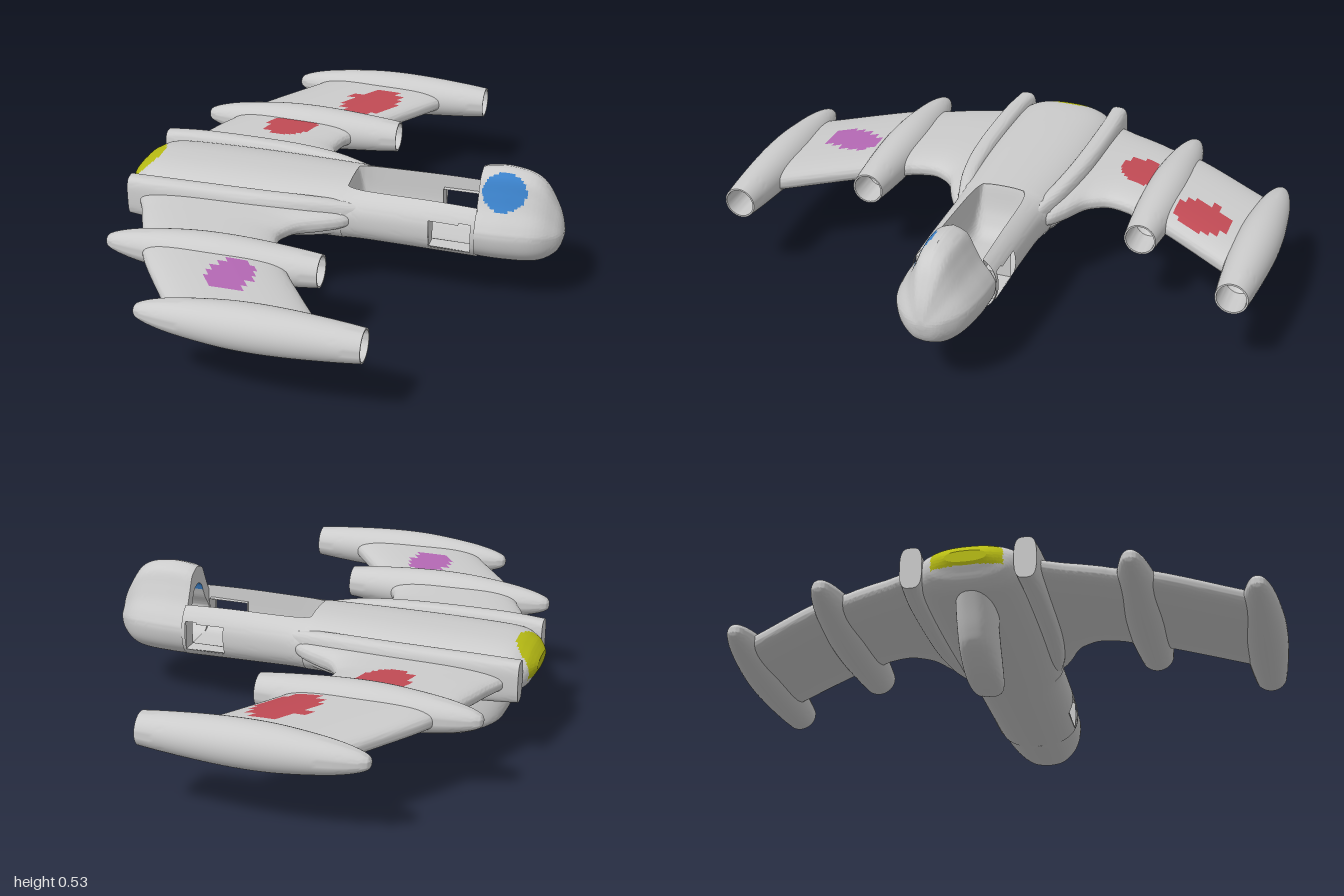
import * as THREE from 'three';
import { toCreasedNormals } from 'three/addons/utils/BufferGeometryUtils.js';

const GREY = 0xcccccc;
const makeMesh = (name, geometry, color = GREY) => {
  const mesh = new THREE.Mesh(geometry, new THREE.MeshStandardMaterial({ color, side: THREE.DoubleSide }));
  mesh.name = name;
  return mesh;
};

// Catmull-Rom refinement of a table of section parameters
function refine(rows, n) {
  const out = [];
  const spline = (a, b, c, d, t) =>
    b + 0.5 * t * (c - a + t * (2 * a - 5 * b + 4 * c - d + t * (3 * (b - c) + d - a)));
  for (let i = 0; i < rows.length - 1; i++) {
    const [p, q, r, s] = [rows[Math.max(i - 1, 0)], rows[i], rows[i + 1], rows[Math.min(i + 2, rows.length - 1)]];
    for (let k = 0; k < n; k++) out.push(q.map((v, j) => spline(p[j], v, r[j], s[j], k / n)));
  }
  out.push(rows[rows.length - 1]);
  return out;
}

const spow = (v, e) => Math.sign(v) * Math.pow(Math.abs(v), e);

// Closed superellipse as [u, v] pairs in -1..1
function superLoop(n, exponent) {
  return Array.from({ length: n }, (_, i) => {
    const a = (i / n) * Math.PI * 2;
    return [spow(Math.cos(a), 2 / exponent), spow(Math.sin(a), 2 / exponent)];
  });
}

// Lofts closed rings; faces chosen by a patch test go to their own coloured mesh
function loft(group, name, rings, { patches = [], hole = () => false, caps = true } = {}) {
  const buckets = [[], ...patches.map(() => [])];
  const add = (...pts) => {
    const c = pts.reduce((s, p) => s.add(p), new THREE.Vector3()).divideScalar(pts.length);
    if (hole(c)) return;
    const target = buckets[patches.findIndex((p) => p.test(c)) + 1];
    for (let k = 1; k < pts.length - 1; k++)
      for (const p of [pts[0], pts[k], pts[k + 1]]) target.push(p.x, p.y, p.z);
  };
  const n = rings[0].length;
  for (let i = 0; i < rings.length - 1; i++)
    for (let j = 0; j < n; j++) {
      const k = (j + 1) % n;
      add(rings[i][j], rings[i][k], rings[i + 1][k], rings[i + 1][j]);
    }
  if (caps)
    [rings[0], rings[rings.length - 1]].forEach((ring, end) => {
      const mid = ring.reduce((s, p) => s.add(p), new THREE.Vector3()).divideScalar(n);
      ring.forEach((p, j) => (end ? add(mid, p, ring[(j + 1) % n]) : add(mid, ring[(j + 1) % n], p)));
    });
  buckets.forEach((data, i) => {
    if (!data.length) return;
    const g = new THREE.BufferGeometry();
    g.setAttribute('position', new THREE.Float32BufferAttribute(data, 3));
    const patch = patches[i - 1];
    group.add(makeMesh(patch ? patch.name : name, toCreasedNormals(g, 0.7), patch ? patch.color : GREY));
  });
}

const V = (x, y, z) => new THREE.Vector3(x, y, z);
const inOval = (a, b, ra, rb) => (a / ra) ** 2 + (b / rb) ** 2 < 1;

// Fuselage section: outer hull from rim to rim, then across the top or down into the cockpit
function hullRing([x, w, top, bottom, c, depth]) {
  const E = 2.4, OUT = 72, INN = 48, FLOOR = 0.235;
  const mid = (top + bottom) / 2, h = (top - bottom) / 2;
  const roof = (z) => mid + h * Math.pow(Math.max(0, 1 - Math.pow(Math.abs(z) / w, E)), 1 / E);
  const start = Math.acos(Math.pow(c / w, E / 2));
  const d = THREE.MathUtils.clamp(depth, 0, 1), rim = roof(c), ring = [];
  for (let i = 0; i < OUT; i++) {
    const a = start - (i / OUT) * (Math.PI + 2 * start);
    ring.push(V(x, mid + h * spow(Math.sin(a), 2 / E), w * spow(Math.cos(a), 2 / E)));
  }
  for (let i = 0; i < INN; i++) {
    const a = Math.PI - (i / INN) * Math.PI;
    const z = c * spow(Math.cos(a), 0.4);
    const pit = FLOOR + (rim - FLOOR) * (1 - Math.pow(Math.abs(Math.sin(a)), 0.4));
    ring.push(V(x, THREE.MathUtils.lerp(roof(z), pit, d), z));
  }
  return ring;
}

function buildFuselage(group) {
  // x, half width, top, bottom, cockpit half width, cockpit depth
  const rows = [
    [-0.8, 0.07, 0.35, 0.31, 0.04, 0], [-0.785, 0.11, 0.367, 0.285, 0.06, 0],
    [-0.76, 0.15, 0.387, 0.25, 0.08, 0], [-0.7, 0.19, 0.408, 0.226, 0.09, 0],
    [-0.55, 0.2, 0.415, 0.217, 0.09, 0], [-0.3, 0.2, 0.418, 0.214, 0.09, 0],
    [0, 0.185, 0.42, 0.208, 0.075, 0], [0.02, 0.18, 0.42, 0.207, 0.075, 0],
    [0.05, 0.174, 0.421, 0.206, 0.088, 0.65], [0.12, 0.166, 0.425, 0.203, 0.097, 1],
    [0.34, 0.161, 0.43, 0.197, 0.102, 1], [0.49, 0.156, 0.43, 0.192, 0.105, 1],
    [0.5, 0.152, 0.43, 0.19, 0.105, 1],
  ];
  loft(group, 'fuselage', refine(rows, 8).map(hullRing), {
    caps: false,
    hole: (p) => p.x > 0.34 && p.x < 0.49 && p.y > 0.252 && p.y < 0.358 && Math.abs(p.z) > 0.07,
    patches: [{ name: 'tailLight', color: 0xb8bc14, test: (p) => p.y > 0.3 && inOval(p.x + 0.8, p.z, 0.09, 0.125) }],
  });
  const tail = hullRing(rows[0]);
  loft(group, 'tailEnd', [tail, tail.map((p) => V(-0.8, 0.33, p.z * 0.05))], {
    patches: [{ name: 'tailLightEnd', color: 0xb8bc14, test: () => true }],
  });

  // Window reveals through the cockpit walls
  for (const s of [1, -1]) {
    const frame = (z) => [[0.34, 0.25], [0.49, 0.25], [0.49, 0.36], [0.34, 0.36]].map(([x, y]) => V(x, y, s * z));
    loft(group, 'windowFrame', [frame(0.085), frame(0.146)], { caps: false });
  }
}

// Raised bell-shaped nose with a hollow behind it
function buildNose(group) {
  const half = new THREE.SplineCurve([
    [0, -1], [0.5, -0.9], [0.88, -0.5], [1, 0], [0.91, 0.2], [0.66, 0.44], [0.5, 0.66], [0.32, 0.9], [0, 1],
  ].map((p) => new THREE.Vector2(...p))).getPoints(48);
  const loop = [...half.map((p) => [p.x, p.y]), ...half.slice(1, -1).reverse().map((p) => [-p.x, p.y])];
  const ring = ([x, w, top, bottom, mid], k = 1) =>
    loop.map(([u, v]) => V(x, mid + k * v * (v > 0 ? top - mid : mid - bottom), k * u * w));
  const rows = [
    [0.5, 0.15, 0.52, 0.19, 0.31], [0.53, 0.15, 0.53, 0.188, 0.31], [0.6, 0.148, 0.535, 0.188, 0.31],
    [0.68, 0.135, 0.52, 0.19, 0.31], [0.73, 0.113, 0.483, 0.199, 0.31], [0.77, 0.078, 0.415, 0.222, 0.308],
    [0.79, 0.05, 0.365, 0.25, 0.305], [0.8, 0.02, 0.32, 0.285, 0.302],
  ];
  const deep = [0.6, ...rows[0].slice(1)];
  const rings = [ring(deep, 0.02), ring(deep, 0.68), ring(rows[0], 0.68), ...refine(rows, 8).map((r) => ring(r))];
  loft(group, 'nose', rings, {
    patches: [{
      name: 'canopyGlass', color: 0x3a80c8,
      test: (p) => p.z > 0.03 && p.x > 0.502 && inOval(p.x - 0.59, p.y - 0.463, 0.078, 0.062),
    }],
  });
}

// Swept wing, blended into the shoulder; s = +1 left, -1 right
function buildWing(group, s) {
  // z, rear edge x, front edge x
  const rows = [
    [0.12, -0.73, 0.08], [0.18, -0.73, 0.05], [0.22, -0.72, -0.01], [0.26, -0.7, -0.09], [0.3, -0.68, -0.127],
    [0.35, -0.66, -0.147], [0.42, -0.63, -0.132], [0.46, -0.61, -0.11], [0.6, -0.555, -0.03],
    [0.84, -0.39, 0.14], [0.92, -0.335, 0.195],
  ];
  const section = superLoop(96, 2.8);
  const rings = refine(rows, 8).map(([z, a, b]) =>
    section.map(([u, v]) => V((a + b) / 2 + (u * (b - a)) / 2, 0.32 + v * 0.05, s * z)));
  const spot = (name, color, x, z, rx, rz, skew) => ({
    name, color, test: (p) => p.y > 0.34 && inOval(p.x - x + skew * (p.z - z), p.z - z, rx, rz),
  });
  const patches = s > 0
    ? [spot('wingPanel', 0xb468b4, -0.2, 0.7, 0.075, 0.1, 0)]
    : [spot('outerWingPanel', 0xc04a54, -0.1, -0.71, 0.095, 0.11, 0.4),
       spot('innerWingPanel', 0xc04a54, -0.34, -0.42, 0.09, 0.09, 0.3)];
  loft(group, s > 0 ? 'leftWing' : 'rightWing', rings, { patches });
}

// Flat-sided roll along each flank: x, centre z, half width, bottom, top
function buildShoulder(group, s) {
  const rows = [
    [-0.765, 0.192, 0.038, 0.25, 0.4], [-0.6, 0.2, 0.04, 0.243, 0.406], [-0.3, 0.195, 0.04, 0.243, 0.406],
    [-0.1, 0.175, 0.035, 0.25, 0.4], [0.03, 0.145, 0.03, 0.265, 0.385], [0.12, 0.125, 0.02, 0.28, 0.37],
  ];
  const section = superLoop(40, 3.2);
  loft(group, 'shoulder', refine(rows, 6).map(([x, z, w, y0, y1]) =>
    section.map(([u, v]) => V(x, (y0 + y1) / 2 + (v * (y1 - y0)) / 2, s * (z + u * w)))));
}

// Cigar pod with a hollow open front
function buildPod(name, x, z) {
  const outer = new THREE.SplineCurve([
    [0, 0], [0.024, 0.012], [0.045, 0.07], [0.062, 0.16], [0.077, 0.3], [0.081, 0.42], [0.077, 0.55],
    [0.067, 0.69], [0.058, 0.78],
  ].map((p) => new THREE.Vector2(...p))).getPoints(48);
  outer[0].x = 0;
  const profile = [...outer, ...[[0.052, 0.78], [0.05, 0.66], [0, 0.6]].map((p) => new THREE.Vector2(...p))];
  const mesh = makeMesh(name, toCreasedNormals(new THREE.LatheGeometry(profile, 40), 0.6));
  mesh.rotation.z = -Math.PI / 2;
  mesh.position.set(x, 0.322, z);
  return mesh;
}

// Belly fin: rear edge x, y, front edge x, y, half thickness
function buildFin(group) {
  const rows = [
    [-0.77, 0.31, -0.42, 0.31, 0.065], [-0.72, 0.2, -0.485, 0.21, 0.065], [-0.685, 0.12, -0.47, 0.16, 0.065],
    [-0.655, 0.075, -0.42, 0.085, 0.064], [-0.59, 0.035, -0.385, 0.03, 0.06],
    [-0.53, 0.014, -0.387, 0.01, 0.05], [-0.47, 0.003, -0.41, 0.002, 0.03],
  ];
  const section = superLoop(48, 2.6);
  loft(group, 'bellyFin', refine(rows, 6).map(([ax, ay, bx, by, t]) =>
    section.map(([u, v]) => V((ax + bx) / 2 + (u * (bx - ax)) / 2, (ay + by) / 2 + (u * (by - ay)) / 2, v * t))));
}

export function createModel() {
  const model = new THREE.Group();
  model.name = 'aircraft';
  buildFuselage(model);
  buildNose(model);
  buildFin(model);
  for (const s of [1, -1]) {
    buildWing(model, s);
    buildShoulder(model, s);
    model.add(buildPod('innerPod', -0.72, s * 0.525), buildPod('outerPod', -0.46, s * 0.919));
  }
  return model;
}
